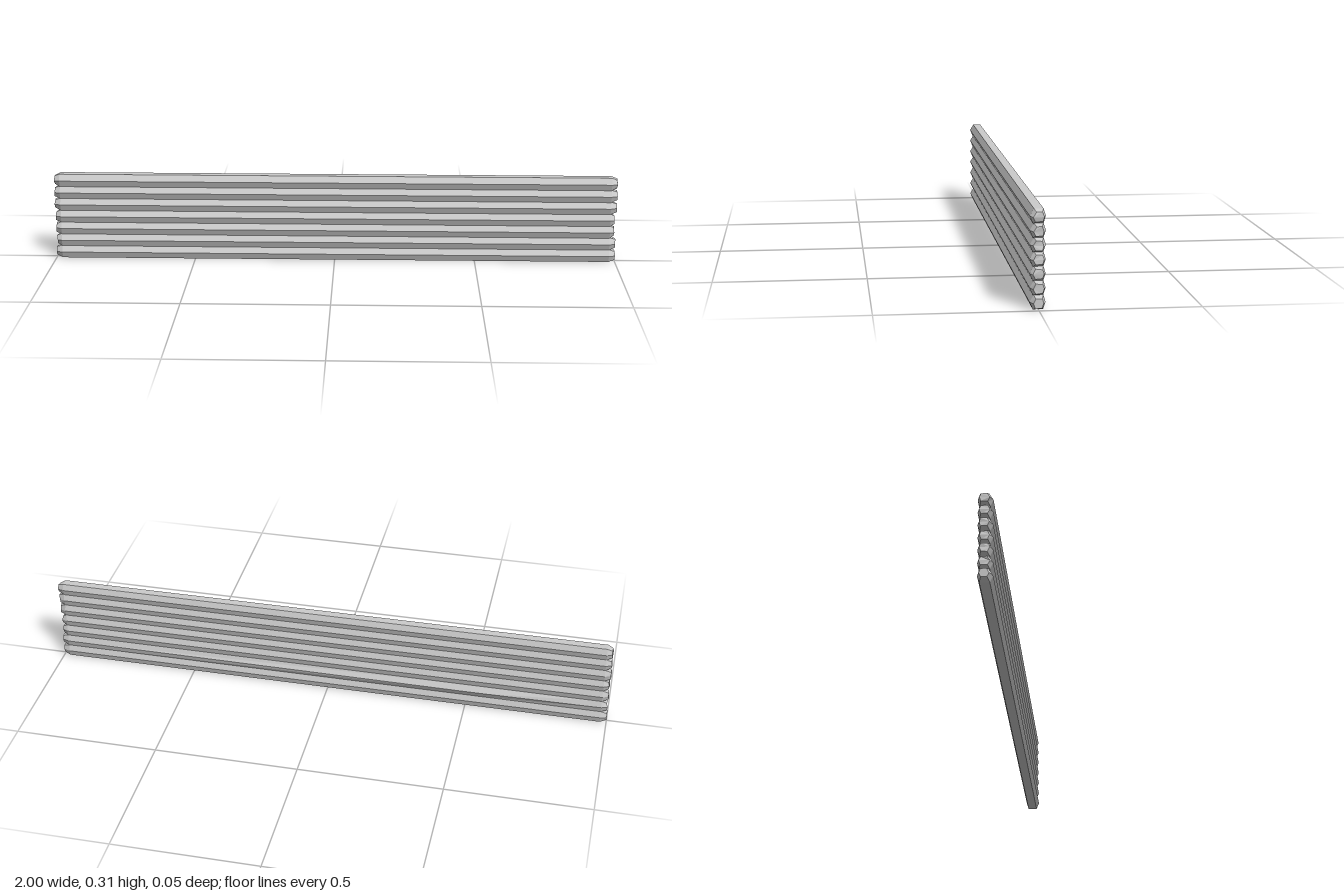
import * as THREE from 'three';

const COUNT = 7, PITCH = 0.044, MID = 0.022;

// Hexagonal log section as [y, z] offsets, counter-clockwise seen from +x
const SECTION = [
  [0.000, 0.027], [-0.023, 0.017], [-0.022, -0.015],
  [0.000, -0.022], [0.022, -0.015], [0.022, 0.014],
];

// Small repeatable variation for the hand-cut ends
function vary(a, b) {
  const s = Math.sin(a * 12.99 + b * 78.23) * 43758.5;
  return (s - Math.floor(s)) * 2 - 1;
}

// Loft hexagonal rings along x and close both ends with fans
function logGeometry(index) {
  const stations = [
    { x: -1 + 0.004 * (1 + vary(index, 1)), s: 0.66 },
    { x: -0.978, s: 1 },
    { x: 0.978, s: 1 },
    { x: 1 - 0.004 * (1 + vary(index, 2)), s: 0.66 },
  ];
  // The second log swells a little at the back
  if (index === 1) stations.splice(2, 0, { x: -0.55, s: 1, swell: 0.005 });
  if (index === 0) { stations[0].x = -1; stations[stations.length - 1].x = 1; }

  const n = SECTION.length, pos = [], idx = [];
  stations.forEach(({ x, s, swell = 0 }, r) => {
    SECTION.forEach(([y, z], k) => {
      const end = s < 1;
      const j = end ? 0.0015 : 0;
      pos.push(
        x + (end ? 0.003 * vary(k + index, r) * (x > 0 ? -1 : 1) * (index ? 1 : 0) : 0),
        y * s + j * vary(k, r + index),
        z * s + j * vary(r + index, k) - (k === 3 ? swell : 0)
      );
    });
  });
  // Keep every ring inside the overall length
  for (let i = 0; i < pos.length; i += 3) pos[i] = Math.max(-1, Math.min(1, pos[i]));

  for (let r = 0; r < stations.length - 1; r++) {
    for (let k = 0; k < n; k++) {
      const a = r * n + k, b = r * n + (k + 1) % n;
      idx.push(a, b, a + n, b, b + n, a + n);
    }
  }
  const last = (stations.length - 1) * n;
  for (let k = 1; k < n - 1; k++) {
    idx.push(0, k + 1, k);
    idx.push(last, last + k, last + k + 1);
  }

  const g = new THREE.BufferGeometry();
  g.setAttribute('position', new THREE.Float32BufferAttribute(pos, 3));
  g.setIndex(idx);
  const flat = g.toNonIndexed();
  flat.computeVertexNormals();
  return flat;
}

export function createModel() {
  const model = new THREE.Group();
  model.name = 'logWall';
  const material = new THREE.MeshStandardMaterial({
    color: 0xcccccc, flatShading: true, side: THREE.DoubleSide,
  });
  // Stack of logs from the ground up
  for (let i = 0; i < COUNT; i++) {
    const log = new THREE.Mesh(logGeometry(i), material);
    log.name = `log${i + 1}`;
    log.position.y = MID + 0.001 + i * PITCH;
    model.add(log);
  }
  return model;
}
